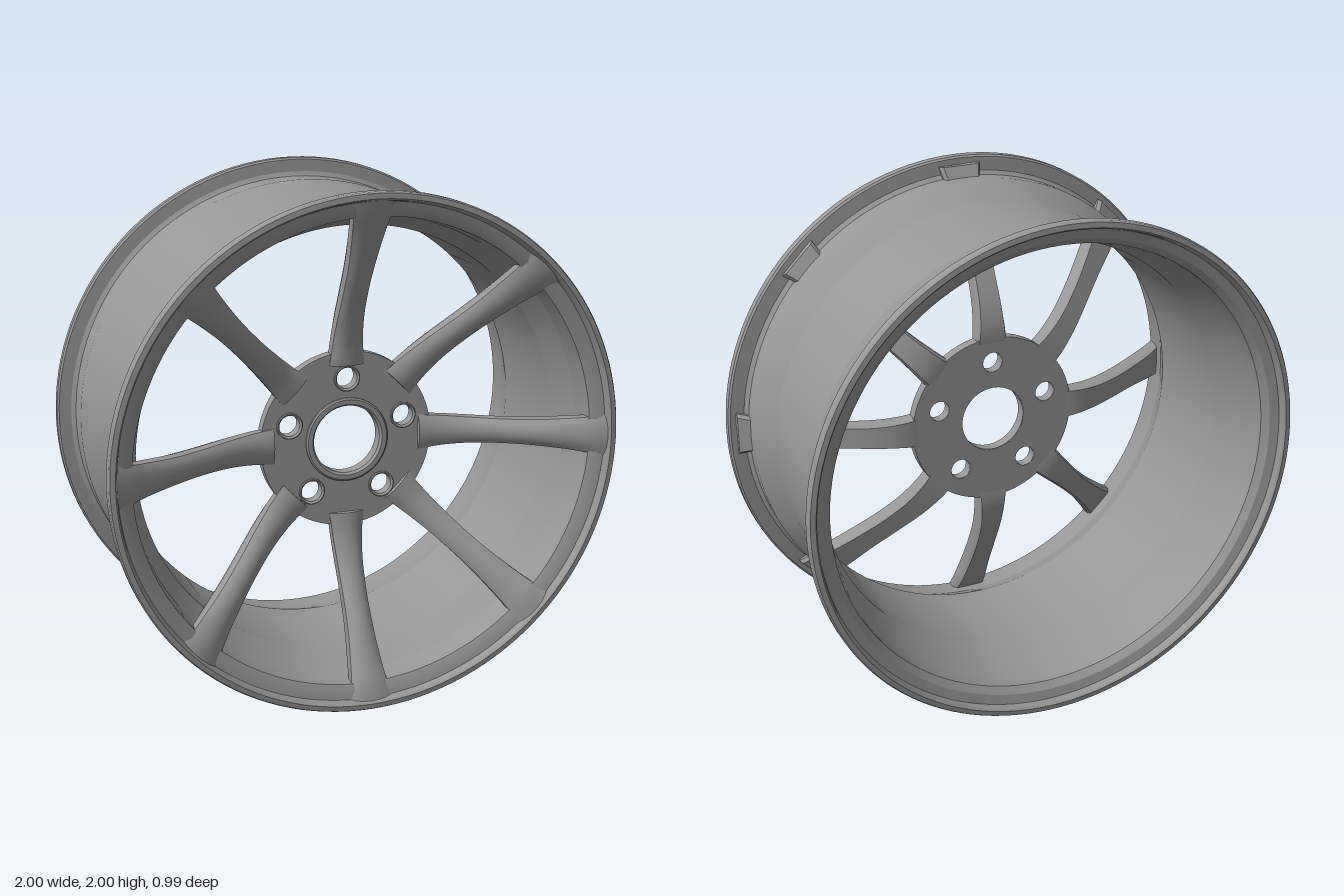
import * as THREE from 'three';
import { toCreasedNormals, mergeVertices } from 'three/addons/utils/BufferGeometryUtils.js';

const metal = new THREE.MeshStandardMaterial({ color: 0x979797 });
metal.name = 'grey metal';

// Revolve a closed [radius, z] outline around the z axis
function ring(outline, segments) {
  const pts = [...outline, outline[0]].map(([r, z]) => new THREE.Vector2(r, z));
  const geo = new THREE.LatheGeometry(pts, segments).rotateX(Math.PI / 2);
  return toCreasedNormals(geo, 0.3);
}

// Spoke pointing along +y, lofted from cross-sections
function spokeGeometry() {
  // radius, front height, half width
  const path = new THREE.CatmullRomCurve3([
    [0.295, 0.2, 0.07], [0.38, 0.212, 0.061], [0.48, 0.245, 0.053], [0.6, 0.305, 0.049],
    [0.72, 0.37, 0.052], [0.84, 0.43, 0.063], [0.91, 0.465, 0.073], [0.972, 0.485, 0.087],
  ].map(p => new THREE.Vector3(...p)));
  // side-to-side position and depth below the crown (0 front, 1 back)
  const section = [[-0.85, 1], [0.85, 1], [1, 0.75], [1, 0.28], [0.75, 0.14], [0.4, 0.04],
    [0, 0], [-0.4, 0.04], [-0.75, 0.14], [-1, 0.28], [-1, 0.75]];
  const n = section.length, steps = 28, pos = [], idx = [];
  for (let i = 0; i <= steps; i++) {
    const t = i / steps, p = path.getPoint(t);
    const depth = 0.062 + 0.035 * Math.sin(Math.PI * t);
    for (const [u, d] of section) {
      const x = u * p.z;
      // the outer end follows the rim's curve
      const y = p.x - t * t * (p.x - Math.sqrt(p.x * p.x - x * x));
      pos.push(x, y, p.y - d * depth);
    }
  }
  for (let i = 0; i < steps; i++) {
    for (let j = 0; j < n; j++) {
      const a = i * n + j, b = i * n + (j + 1) % n;
      idx.push(a, a + n, b, b, a + n, b + n);
    }
  }
  const last = steps * n;
  for (let j = 1; j < n - 1; j++) {
    idx.push(0, j, j + 1, last, last + j + 1, last + j);
  }
  const geo = new THREE.BufferGeometry();
  geo.setAttribute('position', new THREE.Float32BufferAttribute(pos, 3));
  geo.setIndex(idx);
  return toCreasedNormals(mergeVertices(geo), 0.6);
}

export function createModel() {
  const model = new THREE.Group();
  model.name = 'wheel';
  const wheel = new THREE.Group();
  wheel.name = 'wheelBody';
  wheel.position.y = 1;
  model.add(wheel);
  const add = (name, geo) => {
    const mesh = new THREE.Mesh(geo, metal);
    mesh.name = name;
    wheel.add(mesh);
    return mesh;
  };

  // Rim barrel: outside from back to front, then inside from front to back
  add('rimBarrel', ring([
    [0.975, -0.495], [0.995, -0.493], [1, -0.485], [1, -0.458], [0.993, -0.45], [0.945, -0.446],
    [0.928, -0.435], [0.925, -0.38], [0.928, -0.34], [0.872, -0.18],
    [0.872, 0.24], [0.922, 0.34], [0.928, 0.36], [0.925, 0.425],
    [0.94, 0.44], [0.993, 0.446], [1, 0.454], [1, 0.485], [0.995, 0.493], [0.975, 0.495],
    [0.968, 0.486], [0.962, 0.464], [0.93, 0.458], [0.905, 0.445], [0.895, 0.34], [0.842, 0.235],
    [0.842, -0.18], [0.895, -0.34], [0.9, -0.43], [0.925, -0.455], [0.962, -0.464], [0.968, -0.486],
  ], 128));

  // Hub disc with centre bore and five bolt holes
  const disc = new THREE.Shape().absarc(0, 0, 0.347, 0, Math.PI * 2, false);
  disc.holes.push(new THREE.Path().absarc(0, 0, 0.137, 0, Math.PI * 2, true));
  const bolts = [];
  for (let i = 0; i < 5; i++) {
    const a = Math.PI / 2 + i * Math.PI * 2 / 5;
    const x = Math.cos(a) * 0.243, y = Math.sin(a) * 0.243;
    bolts.push([x, y]);
    disc.holes.push(new THREE.Path().absarc(x, y, 0.042, 0, Math.PI * 2, true));
  }
  const hub = new THREE.ExtrudeGeometry(disc, { depth: 0.044, bevelEnabled: false, curveSegments: 48 });
  hub.translate(0, 0, 0.136);
  add('hubDisc', toCreasedNormals(hub, 0.5));

  // Raised collars around the bore and bolt holes
  add('boreCollar', ring([[0.134, 0.137], [0.166, 0.137], [0.166, 0.188], [0.16, 0.193],
    [0.142, 0.193], [0.134, 0.182]], 64));
  const collar = ring([[0.041, 0.138], [0.052, 0.138], [0.052, 0.186], [0.048, 0.188],
    [0.041, 0.181]], 32);
  for (const [x, y] of bolts) add('boltCollar', collar).position.set(x, y, 0);

  // Eight concave spokes
  const spoke = spokeGeometry();
  for (let i = 0; i < 8; i++) add('spoke', spoke).rotation.z = i * Math.PI / 4;

  return model;
}
